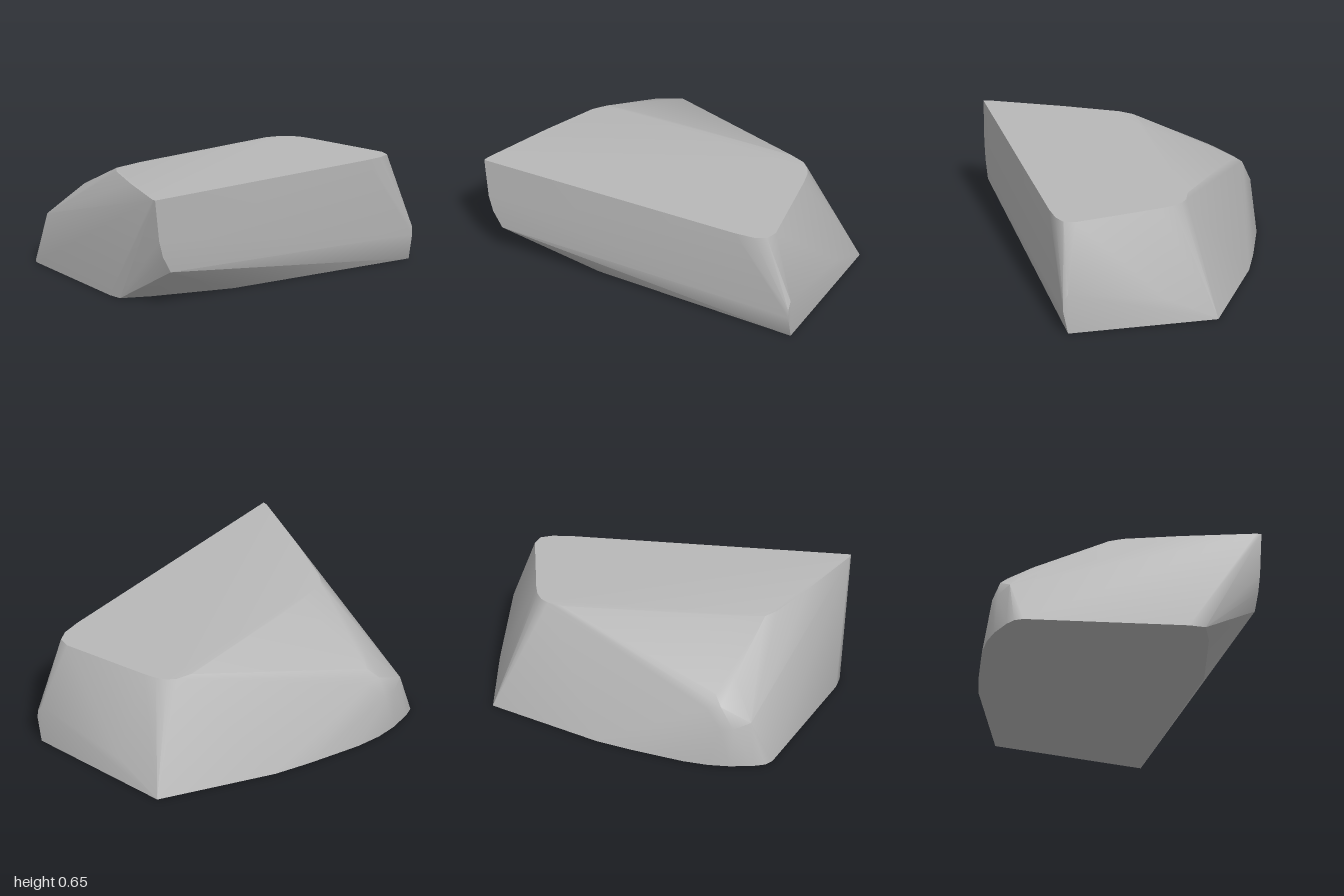
import * as THREE from 'three';
import { ConvexGeometry } from 'three/addons/geometries/ConvexGeometry.js';
import { toCreasedNormals } from 'three/addons/utils/BufferGeometryUtils.js';

export function createModel() {
  const group = new THREE.Group();
  group.name = 'rock';
  const stone = new THREE.MeshStandardMaterial({ color: 0xb8b8b8 });
  stone.name = 'stone grey';

  // outlines at a fixed height, as [x, z]
  const ring = (y, pts) => pts.map(([x, z]) => new THREE.Vector3(x, y, z));

  // flat underside
  const base = ring(0, [
    [0.71, -1], [-0.2, -1], [-0.545, -0.34], [-0.62, -0.13], [-0.675, 0.05],
    [-0.72, 0.2], [-0.745, 0.35], [-0.745, 0.48], [-0.72, 0.62], [-0.695, 0.685],
    [-0.65, 0.72], [0.3, 0.97], [0.4, 0.978], [0.48, 0.81], [0.635, 0.3],
  ]);

  // flat top
  const top = ring(0.65, [
    [0.74, 1], [0.71, 0.995], [0.3, 0.81], [0, 0.66], [-0.07, 0.6], [-0.095, 0.4],
    [-0.11, -0.6], [-0.08, -0.69], [-0.04, -0.735], [0.02, -0.765], [0.1, -0.783],
    [0.63, -0.863], [0.7, -0.84], [0.73, -0.77], [0.74, -0.65],
  ]);

  // worn shoulder on one side, chipped front corner and stepped back
  const corners = [
    [-0.735, 0.24, 0.42], [-0.73, 0.24, 0.5], [-0.69, 0.27, 0.6],
    [-0.67, 0.34, 0.33], [-0.685, 0.36, 0.42], [-0.625, 0.415, 0.38], [-0.5, 0.465, 0.475],
    [0.742, 0.4, 0.97], [0.742, 0.3, 0.94], [0.742, 0.2, 0.88],
    [0.742, 0.15, -1], [0.74, 0.2, -1], [0.71, 0.25, -1], [0.107, 0.155, -1],
  ].map((p) => new THREE.Vector3(...p));

  const hull = new ConvexGeometry([...base, ...top, ...corners]);
  const boulder = new THREE.Mesh(toCreasedNormals(hull, 0.55), stone);
  boulder.name = 'boulder';
  group.add(boulder);
  return group;
}
